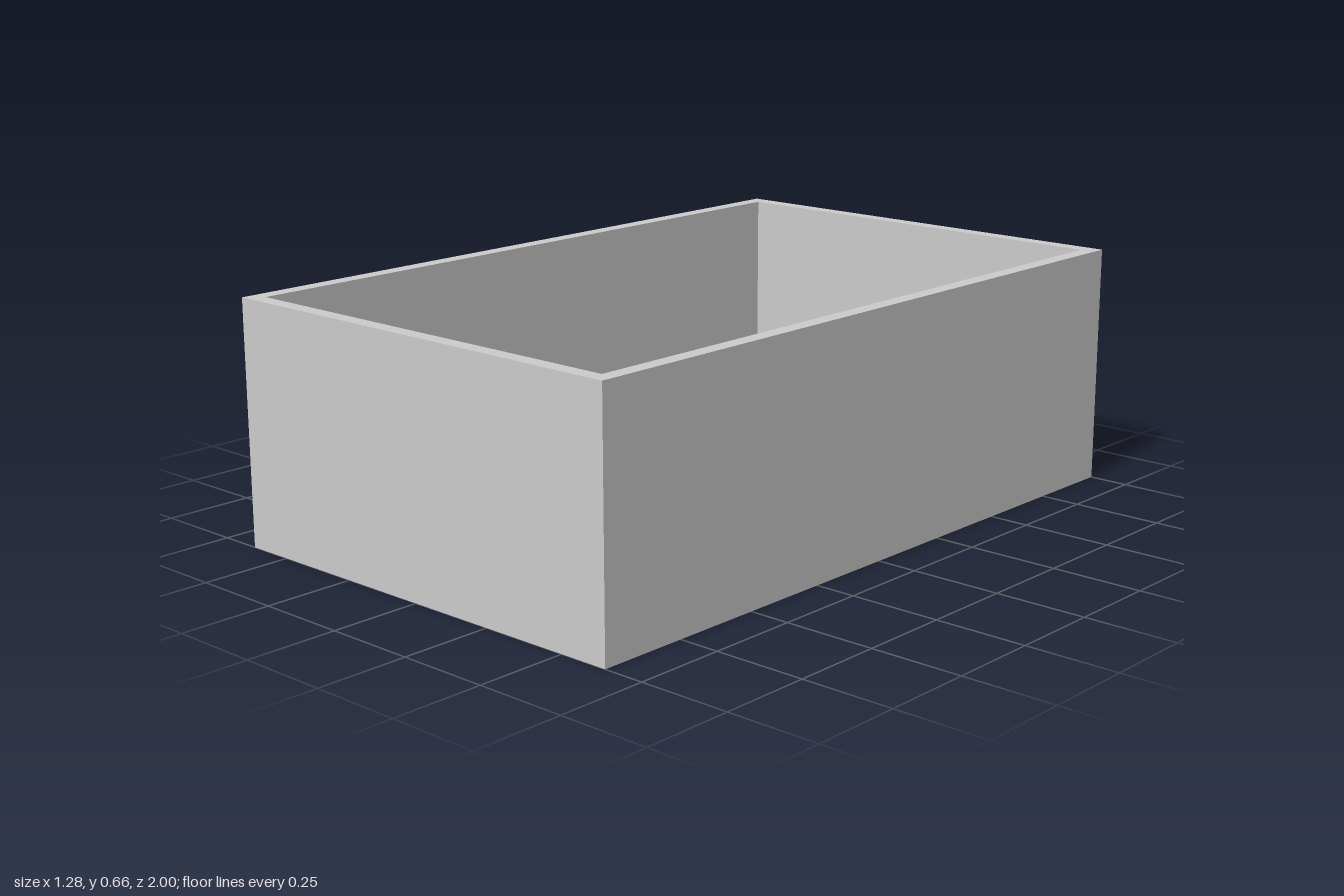
import * as THREE from 'three';

const grey = new THREE.MeshStandardMaterial({ color: 0xcccccc });
const flatGrey = new THREE.MeshStandardMaterial({ color: 0xcccccc, flatShading: true });

// Overall size: x from X0 (panelled face) to X1, z from -1 to 1
const X0 = -0.632, X1 = 0.638, H = 0.664, WALL = 0.042, FLOOR = 0.045;
const RECESS = 0.016;

function add(parent, name, geometry, material = flatGrey) {
  const mesh = new THREE.Mesh(geometry, material);
  mesh.name = name;
  parent.add(mesh);
  return mesh;
}

// Box given by its two extreme corners
function addBox(parent, name, [ax, ay, az], [bx, by, bz]) {
  const mesh = add(parent, name, new THREE.BoxGeometry(bx - ax, by - ay, bz - az));
  mesh.position.set((ax + bx) / 2, (ay + by) / 2, (az + bz) / 2);
}

// Closed solid through rectangular loops [x, inset], running towards -x
function panelGeometry(loops) {
  const rings = loops.map(([x, i]) => [
    [x, i, -1 + i], [x, i, 1 - i], [x, H - i, 1 - i], [x, H - i, -1 + i],
  ]);
  const pos = [];
  const quad = (a, b, c, d) => pos.push(...a, ...b, ...c, ...a, ...c, ...d);
  for (let k = 0; k + 1 < rings.length; k++) {
    for (let i = 0; i < 4; i++) {
      const j = (i + 1) % 4;
      quad(rings[k][i], rings[k][j], rings[k + 1][j], rings[k + 1][i]);
    }
  }
  quad(...[...rings[0]].reverse());
  quad(...rings[rings.length - 1]);
  const geometry = new THREE.BufferGeometry();
  geometry.setAttribute('position', new THREE.Float32BufferAttribute(pos, 3));
  geometry.computeVertexNormals();
  return geometry;
}

export function createModel() {
  const drawer = new THREE.Group();
  drawer.name = 'drawer';
  const inner = X0 + WALL;

  // Face with a bevelled, recessed field
  add(drawer, 'recessedPanel', panelGeometry([
    [inner, 0], [X0, 0], [X0, 0.065], [X0 + RECESS, 0.112],
  ]));

  // Open box behind the face
  addBox(drawer, 'floor', [inner, 0, -1], [X1, FLOOR, 1]);
  addBox(drawer, 'rearWall', [X1 - WALL, FLOOR, -1], [X1, H, 1]);
  for (const side of [-1, 1]) {
    const z = [side * (1 - WALL), side].sort((a, b) => a - b);
    addBox(drawer, side > 0 ? 'frontSideWall' : 'backSideWall',
      [inner, FLOOR, z[0]], [X1 - WALL, H, z[1]]);
  }

  // Bowed pull handle with a rounded foot at each end
  const handle = new THREE.Group();
  handle.name = 'handle';
  handle.position.set(X0 + RECESS, 0.333, -0.01);
  const path = new THREE.CatmullRomCurve3([
    [-0.004, -0.085], [-0.006, -0.06], [-0.011, -0.03], [-0.0125, 0],
    [-0.011, 0.03], [-0.006, 0.06], [-0.004, 0.085],
  ].map(([x, z]) => new THREE.Vector3(x, 0, z)));
  add(handle, 'handleBar', new THREE.TubeGeometry(path, 32, 0.011, 12), grey);
  for (const side of [-1, 1]) {
    const foot = add(handle, 'handleFoot', new THREE.SphereGeometry(0.024, 20, 14), grey);
    foot.scale.x = 0.6;
    foot.position.z = side * 0.085;
  }
  drawer.add(handle);

  return drawer;
}
